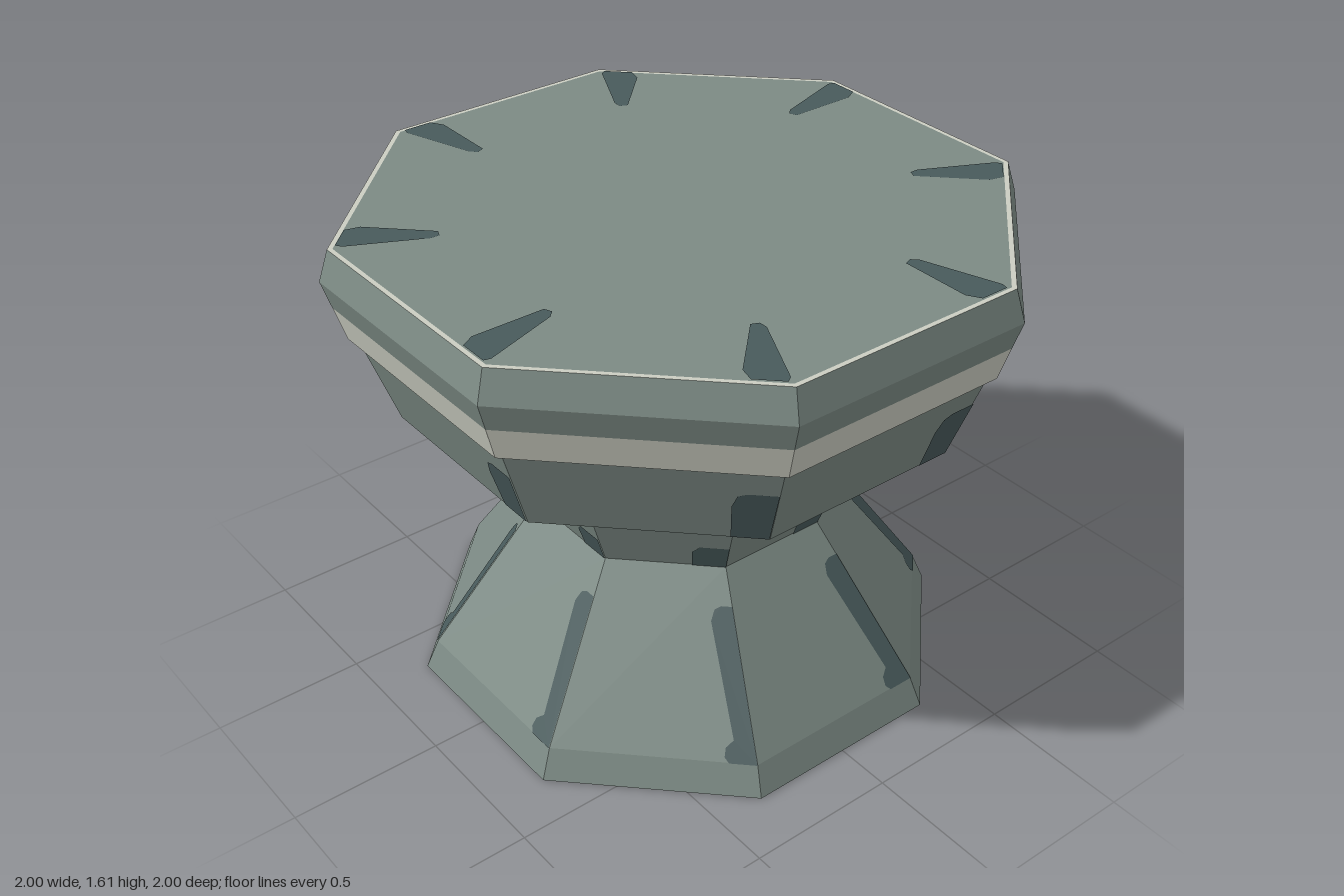
import * as THREE from 'three';

const SIDES = 8;
const COS = Math.cos(Math.PI / SIDES);
const START = Math.PI / SIDES;

const mat = (name, color) => {
  const m = new THREE.MeshStandardMaterial({ color });
  m.name = name;
  return m;
};

// Eight-sided sloping wall; sizes are half-widths across the flats
function wall(y0, a0, y1, a1, inward = false) {
  const g = new THREE.CylinderGeometry(a1 / COS, a0 / COS, y1 - y0, SIDES, 1, true, START);
  if (inward) g.scale(-1, 1, 1);
  g.translate(0, (y0 + y1) / 2, 0);
  const flat = g.toNonIndexed();
  flat.computeVertexNormals();
  return flat;
}

// Flat octagon, or octagonal ring when inner > 0, facing up (dir 1) or down (dir -1)
function plate(y, outer, inner = 0, dir = 1) {
  const g = inner > 0
    ? new THREE.RingGeometry(inner / COS, outer / COS, SIDES, 1, START)
    : new THREE.CircleGeometry(outer / COS, SIDES, START);
  return g.rotateX(-dir * Math.PI / 2).translate(0, y, 0);
}

const outline = (pts) => new THREE.ShapeGeometry(new THREE.Shape(pts.map(([x, y]) => new THREE.Vector2(x, y))));

// Thin patch lying on the front facet of a wall; points are [x, y]
function wallPatch(pts, y0, a0, y1, a1) {
  const g = outline(pts);
  const p = g.attributes.position;
  for (let i = 0; i < p.count; i++) {
    p.setZ(i, a0 + (a1 - a0) * (p.getY(i) - y0) / (y1 - y0) + 0.003);
  }
  g.computeVertexNormals();
  return g;
}

// Thin patch lying on a horizontal face; points are [x, z]
function flatPatch(pts, y, dir) {
  return outline(pts.map(([x, z]) => [x, -dir * z]))
    .rotateX(-dir * Math.PI / 2).translate(0, y + dir * 0.003, 0);
}

export function createModel() {
  const root = new THREE.Group();
  const stone = mat('grey green stone', 0x7c8a84);
  const dark = mat('dark teal stone', 0x485a5b);
  const pale = mat('pale trim', 0xcbcdc1);
  const tan = mat('tan core', 0xd6c298);

  const group = (name) => {
    const g = new THREE.Group();
    g.name = name;
    root.add(g);
    return g;
  };
  const add = (parent, name, geo, material) => {
    const m = new THREE.Mesh(geo, material);
    m.name = name;
    parent.add(m);
    return m;
  };
  // Repeat a patch on every facet
  const around = (parent, name, geo) => {
    for (let i = 0; i < SIDES; i++) add(parent, name, geo, dark).rotation.y = i * Math.PI / 4;
  };

  // Hollow flared base with a narrow neck
  const base = group('base');
  add(base, 'foot', wall(0, 0.82, 0.1, 0.78), stone);
  add(base, 'flare', wall(0.1, 0.78, 0.6, 0.45), stone);
  add(base, 'neck', wall(0.6, 0.45, 0.8, 0.52), stone);
  add(base, 'footUnderside', plate(0, 0.82, 0.63, -1), stone);
  add(base, 'innerWall', wall(0, 0.63, 0.38, 0.39, true), dark);
  add(base, 'coreUnderside', plate(0.38, 0.39, 0, -1), tan);
  add(base, 'coreTop', plate(0.8, 0.52), tan);

  // Dark wear marks beside each corner of the base
  around(base, 'flareMark', wallPatch(
    [[0.323, 0.1], [0.235, 0.1], [0.22, 0.115], [0.222, 0.14], [0.245, 0.16],
      [0.152, 0.46], [0.16, 0.49], [0.18, 0.5], [0.214, 0.5]],
    0.1, 0.78, 0.6, 0.45));
  around(base, 'neckMark', wallPatch(
    [[0.187, 0.6], [0.083, 0.6], [0.085, 0.67], [0.11, 0.695], [0.2, 0.695]],
    0.6, 0.45, 0.8, 0.52));
  around(base, 'footMark', flatPatch(
    [[0.25, 0.76], [0.3, 0.78], [0.32, 0.77], [0.29, 0.7], [0.25, 0.7]], 0, -1));
  around(base, 'neckTopMark', flatPatch(
    [[0.11, 0.515], [0.213, 0.515], [0.17, 0.4], [0.13, 0.4]], 0.8, 1));

  // Floating octagonal top
  const top = group('top');
  add(top, 'lowerBody', wall(1, 0.82, 1.3, 0.92), stone);
  add(top, 'underside', plate(1, 0.82, 0, -1), stone);
  add(top, 'step', plate(1.3, 0.943, 0.92, -1), stone);
  add(top, 'trimBand', wall(1.3, 0.943, 1.41, 0.974), pale);
  add(top, 'upperBody', wall(1.41, 0.974, 1.5, 1), stone);
  add(top, 'bevel', wall(1.5, 1, 1.6, 0.97), stone);
  add(top, 'surface', plate(1.6, 0.955), stone);
  add(top, 'surfaceEdge', plate(1.6, 0.97, 0.955), pale);

  // Dark wear marks beside each corner of the top
  around(top, 'bodyMark', wallPatch(
    [[0.338, 1.002], [0.23, 1.002], [0.235, 1.14], [0.252, 1.185], [0.28, 1.197], [0.366, 1.197]],
    1, 0.82, 1.3, 0.92));
  around(top, 'surfaceMark', flatPatch(
    [[0.26, 0.68], [0.285, 0.67], [0.305, 0.69], [0.385, 0.93], [0.38, 0.952], [0.285, 0.952], [0.26, 0.91]],
    1.6, 1));
  around(top, 'undersideMark', flatPatch(
    [[0.23, 0.818], [0.338, 0.818], [0.32, 0.74], [0.28, 0.72], [0.24, 0.74]], 1, -1));

  return root;
}
